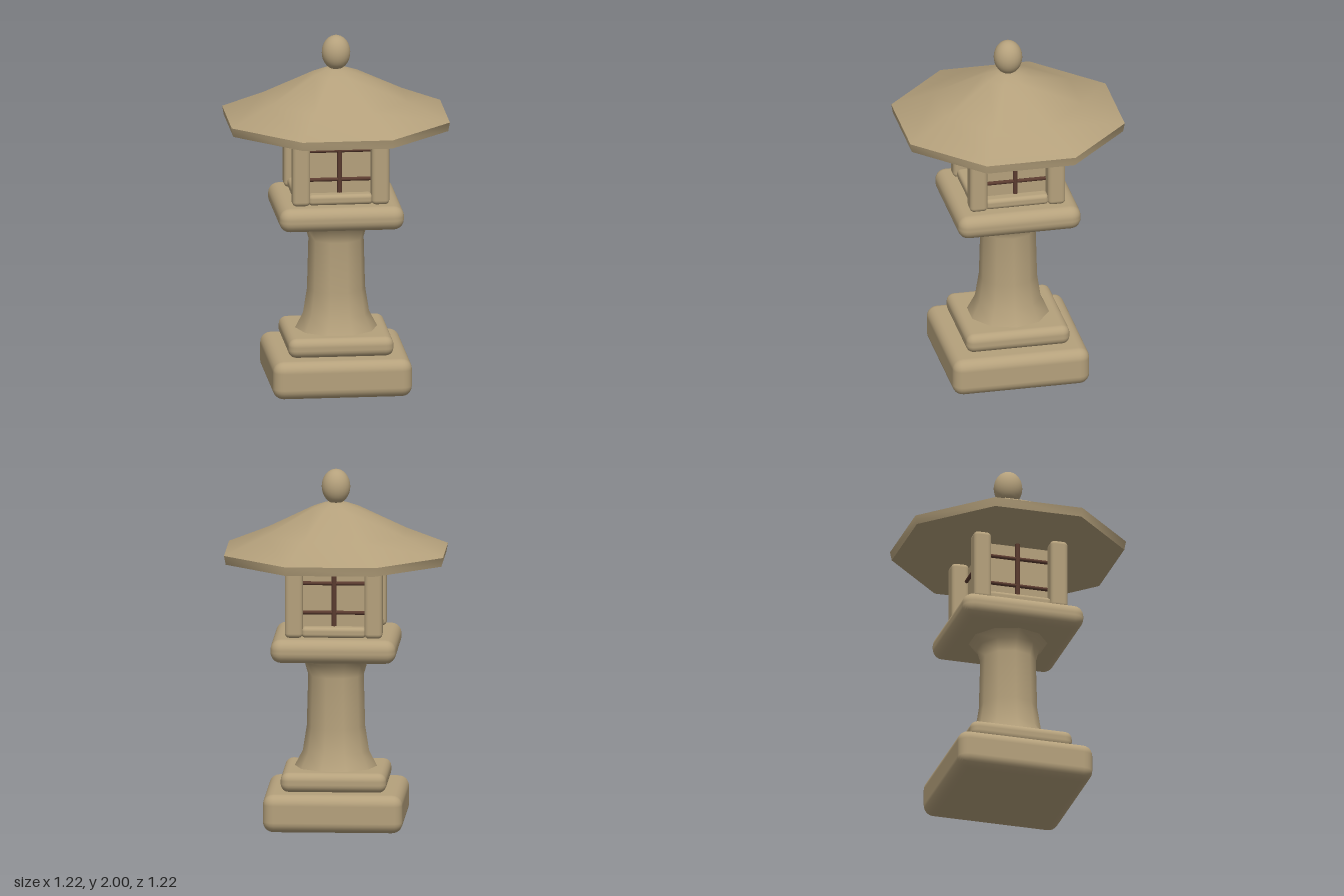
import * as THREE from 'three';
import { toCreasedNormals } from 'three/addons/utils/BufferGeometryUtils.js';
import { RoundedBoxGeometry } from 'three/addons/geometries/RoundedBoxGeometry.js';

const stone = new THREE.MeshStandardMaterial({ color: 0xb5a17c });
stone.name = 'stone';
const wood = new THREE.MeshStandardMaterial({ color: 0x5c3c30 });
wood.name = 'darkWood';

function add(parent, name, geometry, material, x = 0, y = 0, z = 0) {
  const mesh = new THREE.Mesh(geometry, material);
  mesh.name = name;
  mesh.position.set(x, y, z);
  parent.add(mesh);
  return mesh;
}

// Rounded square slab between two heights
function slab(parent, name, half, y0, y1, radius) {
  const geo = new RoundedBoxGeometry(half * 2, y1 - y0, half * 2, 3, radius);
  return add(parent, name, geo, stone, 0, (y0 + y1) / 2, 0);
}

const profile = (pairs) => pairs.map(([r, y]) => new THREE.Vector2(r, y));

export function createModel() {
  const lantern = new THREE.Group();
  lantern.name = 'stoneLantern';

  // Stepped foot and the deck under the light chamber
  slab(lantern, 'base', 0.39, 0, 0.215, 0.06);
  slab(lantern, 'plinth', 0.295, 0.215, 0.325, 0.045);
  slab(lantern, 'deck', 0.35, 0.95, 1.085, 0.06);

  // Ten-sided flared column
  const column = profile([
    [0.235, 0.315], [0.185, 0.41], [0.163, 0.55], [0.155, 0.84], [0.175, 0.91], [0.225, 0.955],
  ]);
  add(lantern, 'column', new THREE.LatheGeometry(column, 10, Math.PI / 2), stone);

  // Light chamber
  const chamber = new THREE.Group();
  chamber.name = 'lightChamber';
  lantern.add(chamber);
  add(chamber, 'chamberCore', new THREE.BoxGeometry(0.36, 0.38, 0.36), stone, 0, 1.275, 0);
  for (const sx of [-1, 1]) for (const sz of [-1, 1]) {
    add(chamber, 'cornerPost', new RoundedBoxGeometry(0.1, 0.41, 0.1, 3, 0.025), stone,
      sx * 0.222, 1.29, sz * 0.222);
  }

  // Sill and lattice repeated on the four sides
  for (let i = 0; i < 4; i++) {
    const side = new THREE.Group();
    side.name = 'windowSide';
    side.rotation.y = i * Math.PI / 2;
    chamber.add(side);
    add(side, 'sill', new RoundedBoxGeometry(0.36, 0.06, 0.08, 3, 0.022), stone, 0, 1.115, 0.215);
    add(side, 'uprightBar', new THREE.CylinderGeometry(0.014, 0.014, 0.36, 8), wood, 0, 1.295, 0.19);
    for (const y of [1.22, 1.385]) {
      add(side, 'crossBar', new THREE.CylinderGeometry(0.011, 0.011, 0.36, 8), wood, 0, y, 0.19)
        .rotation.z = Math.PI / 2;
    }
  }

  // Octagonal roof: smooth slopes, crisp eave
  const k = 1 / Math.cos(Math.PI / 8);
  const roof = profile([
    [0, 1.495], [0.602 * k, 1.495], [0.611 * k, 1.545], [0.385 * k, 1.645],
    [0.125 * k, 1.785], [0.06 * k, 1.81], [0, 1.82],
  ]);
  add(lantern, 'roof', toCreasedNormals(new THREE.LatheGeometry(roof, 8, Math.PI / 8), 0.9), stone);

  // Egg-shaped finial
  add(lantern, 'finial', new THREE.SphereGeometry(0.08, 24, 16), stone, 0, 1.902, 0)
    .scale.y = 0.098 / 0.08;

  return lantern;
}
